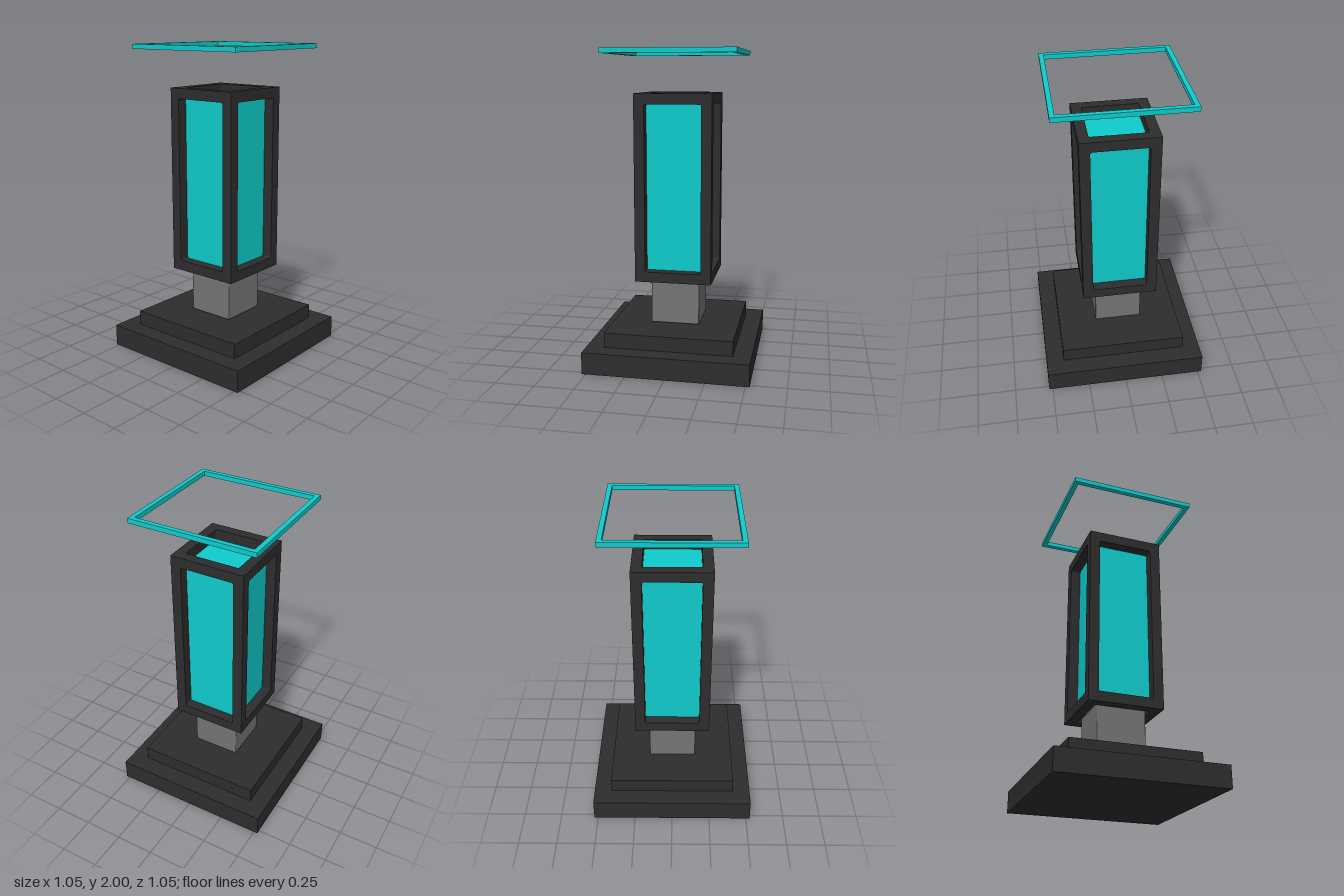
import * as THREE from 'three';
import { RoundedBoxGeometry } from 'three/addons/geometries/RoundedBoxGeometry.js';

const mat = (name, color) => Object.assign(new THREE.MeshStandardMaterial({ color }), { name });

// Flat rectangular frame in the XY plane, with an opening of corner radius r
function frameGeometry(w, h, border, depth, r) {
  const shape = new THREE.Shape();
  shape.moveTo(-w / 2, -h / 2);
  shape.lineTo(w / 2, -h / 2);
  shape.lineTo(w / 2, h / 2);
  shape.lineTo(-w / 2, h / 2);
  shape.closePath();
  const a = w / 2 - border, b = h / 2 - border;
  const hole = new THREE.Path();
  hole.moveTo(-a + r, -b);
  hole.lineTo(a - r, -b);
  if (r) hole.quadraticCurveTo(a, -b, a, -b + r);
  hole.lineTo(a, b - r);
  if (r) hole.quadraticCurveTo(a, b, a - r, b);
  hole.lineTo(-a + r, b);
  if (r) hole.quadraticCurveTo(-a, b, -a, b - r);
  hole.lineTo(-a, -b + r);
  if (r) hole.quadraticCurveTo(-a, -b, -a + r, -b);
  shape.holes.push(hole);
  return new THREE.ExtrudeGeometry(shape, { depth, bevelEnabled: false, curveSegments: 4 });
}

export function createModel() {
  const model = new THREE.Group();
  model.name = 'lampPost';
  const dark = mat('darkMetal', 0x2d2d2d);
  const grey = mat('greyMetal', 0x747474);
  const glow = mat('tealGlow', 0x0fcbcb);

  const add = (name, geometry, material, y = 0, parent = model) => {
    const mesh = new THREE.Mesh(geometry, material);
    mesh.name = name;
    mesh.position.y = y;
    parent.add(mesh);
    return mesh;
  };

  // Stepped base and neck
  add('lowerBase', new THREE.BoxGeometry(1.05, 0.14, 1.05), dark, 0.07);
  add('upperBase', new THREE.BoxGeometry(0.82, 0.095, 0.82), dark, 0.1875);
  add('neck', new RoundedBoxGeometry(0.314, 0.32, 0.314, 2, 0.006), grey, 0.4);

  // Lantern cage: four sides plus top and bottom, around a glowing core
  const W = 0.49, H = 1.195, T = 0.066;
  const cage = new THREE.Group();
  cage.name = 'lanternCage';
  cage.position.y = 0.535 + H / 2;
  model.add(cage);
  const side = frameGeometry(W, H, T, T, 0.014).translate(0, 0, W / 2 - T);
  const cap = frameGeometry(W, W, T, T, 0.014).translate(0, 0, H / 2 - T);
  for (let i = 0; i < 4; i++) add('cageSide', side, dark, 0, cage).rotation.y = i * Math.PI / 2;
  for (const s of [-1, 1]) add(s < 0 ? 'cageTop' : 'cageBottom', cap, dark, 0, cage).rotation.x = s * Math.PI / 2;
  add('glowingCore', new THREE.BoxGeometry(W - 2 * T, H - 2 * T, W - 2 * T), glow, 0, cage);

  // Floating square ring
  const ring = frameGeometry(0.82, 0.82, 0.03, 0.03, 0).rotateX(-Math.PI / 2);
  add('floatingRing', ring, glow, 1.97);

  return model;
}
